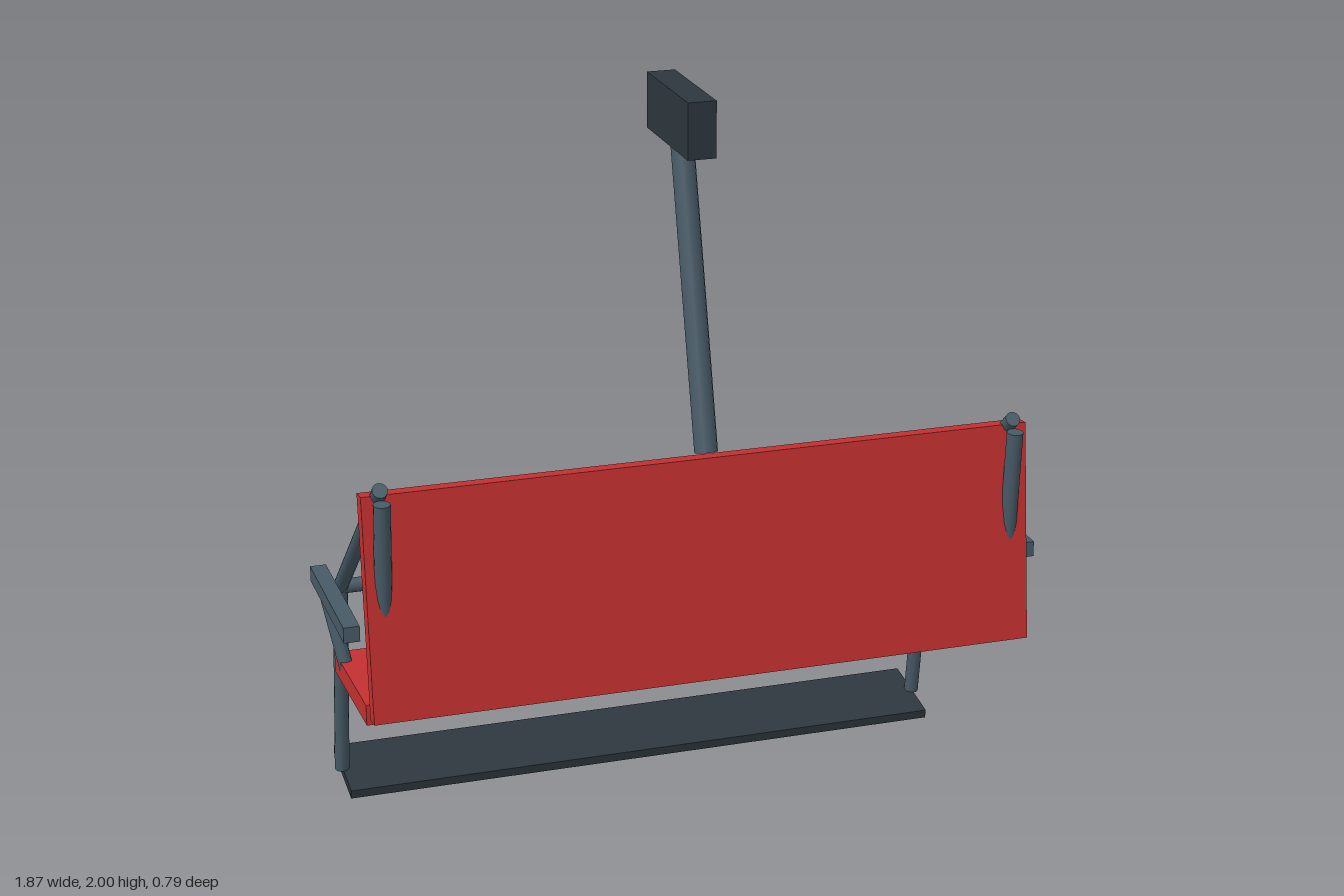
import * as THREE from 'three';

export function createModel() {
  const model = new THREE.Group();
  model.name = 'hangingBench';

  const material = (name, color) => {
    const m = new THREE.MeshStandardMaterial({ color });
    m.name = name;
    return m;
  };
  const red = material('red', 0xc43030);
  const slate = material('slate', 0x475a66);
  const dark = material('charcoal', 0x2d373e);

  function add(name, geometry, mat, position) {
    const mesh = new THREE.Mesh(geometry, mat);
    mesh.name = name;
    mesh.position.set(...position);
    model.add(mesh);
    return mesh;
  }
  // Box tilted about the x axis
  function box(name, size, position, mat, tilt = 0) {
    add(name, new THREE.BoxGeometry(...size), mat, position).rotation.x = tilt;
  }
  // Round bar between two points
  function tube(name, from, to, radius) {
    const a = new THREE.Vector3(...from);
    const b = new THREE.Vector3(...to);
    const dir = b.clone().sub(a);
    const mid = a.clone().add(b).multiplyScalar(0.5);
    const mesh = add(name, new THREE.CylinderGeometry(radius, radius, dir.length(), 14), slate, mid.toArray());
    mesh.quaternion.setFromUnitVectors(new THREE.Vector3(0, 1, 0), dir.normalize());
  }

  // Hanger and cable grip
  box('cableGrip', [0.074, 0.145, 0.335], [0, 1.9275, 0.135], dark);
  tube('hanger', [0, 1.105, 0.345], [0, 1.88, 0.138], 0.03);

  // Seat, backrest and footrest
  box('backrest', [1.77, 0.59, 0.046], [0, 0.784, 0.337], red, -0.118);
  box('seat', [1.77, 0.055, 0.39], [0, 0.467, 0.104], red, -0.055);
  box('footrest', [1.68, 0.025, 0.225], [0, 0.034, -0.283], dark, 0.15);

  // Mirrored side frames
  for (const s of [-1, 1]) {
    tube('rearPost', [s * 0.84, 1.07, 0.362], [s * 0.84, 0.5, 0.32], 0.022);
    tube('restraintArm', [s * 0.84, 1.1, 0.345], [s * 0.84, 0.62, -0.205], 0.02);
    tube('footrestLeg', [s * 0.84, 0.62, -0.205], [s * 0.84, 0.045, -0.285], 0.02);
    add('restraintJoint', new THREE.SphereGeometry(0.021, 14, 10), slate, [s * 0.84, 0.62, -0.205]);
    box('armrest', [0.042, 0.042, 0.415], [s * 0.915, 0.706, 0.094], slate);
    tube('armrestStrut', [s * 0.91, 0.7, -0.088], [s * 0.868, 0.465, -0.02], 0.019);
  }
  tube('restraintBar', [-0.84, 0.62, -0.205], [0.84, 0.62, -0.205], 0.02);

  // Sloping dividers between the places
  for (const x of [-0.44, 0, 0.44]) {
    tube('seatDivider', [x, 0.692, -0.07], [x, 0.505, 0.275], 0.014);
  }

  return model;
}
